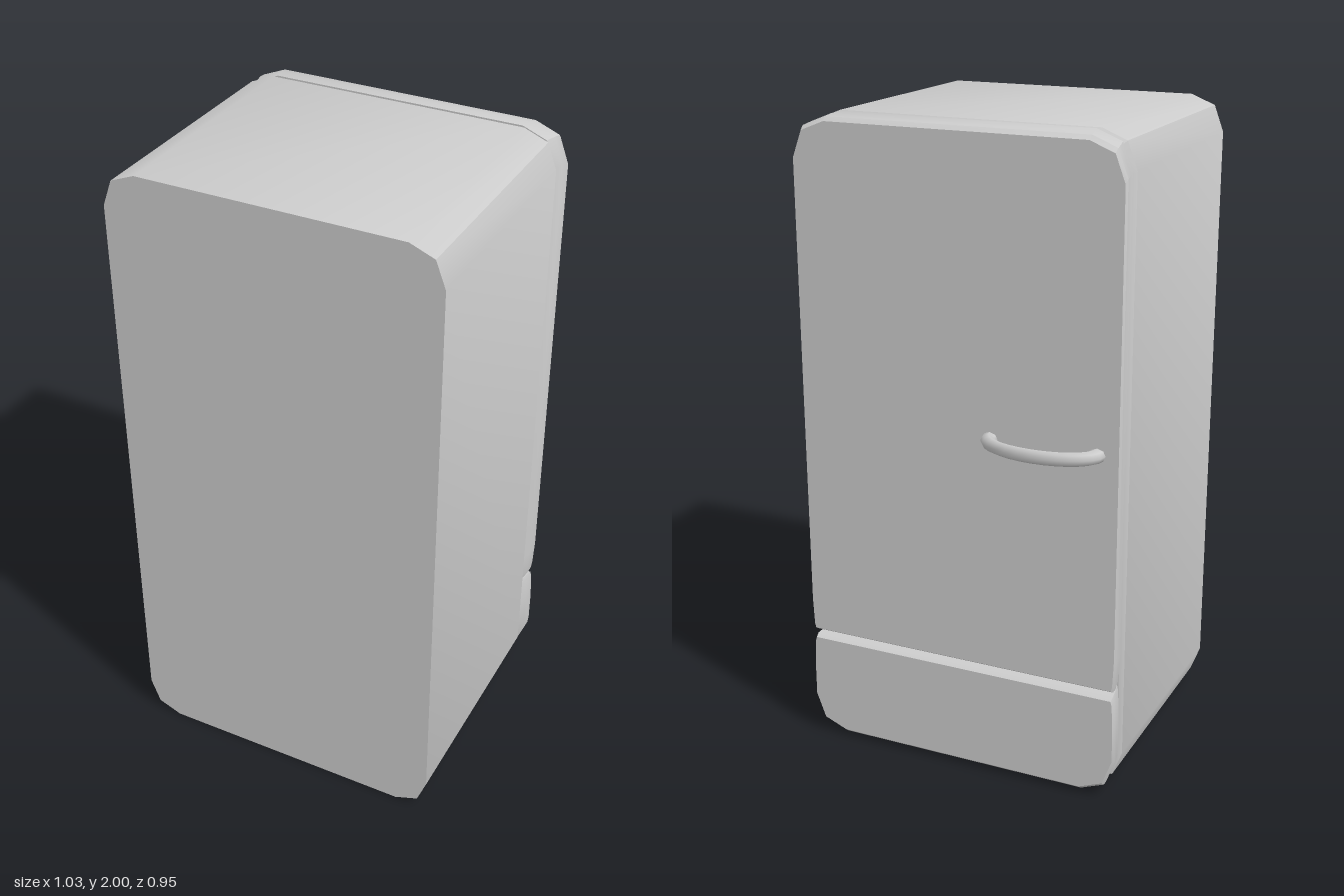
import * as THREE from 'three';
import { toCreasedNormals } from 'three/addons/utils/BufferGeometryUtils.js';

// Corner profiles: [inset from side, inset from end], running from side to end
const ROUND = [[0, 0.11], [0.03, 0.03], [0.105, 0]];
const SEAM = [[0, 0.1], [0.004, 0.015], [0.008, 0]];

// Counter-clockwise outline of a panel, seen from +z
function outline(hw, y0, y1, bottom, top) {
  const up = top.map(([x, y]) => [hw - x, y1 - y]);
  const low = bottom.map(([x, y]) => [hw - x, y0 + y]);
  const mirror = (pts) => pts.map(([x, y]) => [-x, y]);
  return [...up, ...mirror(up).reverse(), ...mirror(low), ...low.reverse()];
}

// Skins cross-sections [z, halfWidth, y0, y1], ordered from +z to -z, with end caps
function loft(sections, bottom, top) {
  const pos = [], idx = [];
  const n = 2 * (bottom.length + top.length);
  for (const [z, hw, y0, y1] of sections) {
    for (const [x, y] of outline(hw, y0, y1, bottom, top)) pos.push(x, y, z);
  }
  for (let s = 0; s < sections.length - 1; s++) {
    for (let i = 0; i < n; i++) {
      const a = s * n + i, b = s * n + (i + 1) % n;
      idx.push(a, a + n, b, b, a + n, b + n);
    }
  }
  const last = (sections.length - 1) * n;
  for (let i = 1; i < n - 1; i++) {
    idx.push(0, i, i + 1, last, last + i + 1, last + i);
  }
  const geo = new THREE.BufferGeometry();
  geo.setAttribute('position', new THREE.Float32BufferAttribute(pos, 3));
  geo.setIndex(idx);
  return toCreasedNormals(geo, 0.55);
}

export function createModel() {
  const group = new THREE.Group();
  const material = new THREE.MeshStandardMaterial({ color: 0xcccccc });
  const add = (name, geometry) => {
    const mesh = new THREE.Mesh(geometry, material);
    mesh.name = name;
    group.add(mesh);
    return mesh;
  };

  // Cabinet with a small bevel behind the doors
  add('cabinet', loft([
    [0.475, 0.51, 0, 2],
    [-0.285, 0.51, 0, 2],
    [-0.3, 0.499, 0.011, 1.989],
  ], ROUND, ROUND));

  // Tall main door and short lower door, slightly flared with softened edges
  add('mainDoor', loft([
    [-0.298, 0.501, 0.348, 1.999],
    [-0.335, 0.51, 0.352, 1.997],
    [-0.365, 0.514, 0.357, 1.992],
    [-0.38, 0.512, 0.367, 1.98],
  ], SEAM, ROUND));
  add('lowerDoor', loft([
    [-0.298, 0.501, 0.001, 0.348],
    [-0.335, 0.51, 0.003, 0.346],
    [-0.365, 0.514, 0.008, 0.342],
    [-0.38, 0.512, 0.02, 0.333],
  ], ROUND, SEAM));

  // Arched handle: flattened half ring standing on the main door
  const arch = new THREE.TorusGeometry(0.167, 0.025, 8, 14, Math.PI);
  arch.rotateX(-Math.PI / 2);
  arch.scale(1, 0.85, 0.5);
  add('handle', arch).position.set(-0.28, 1.1, -0.38);

  return group;
}
